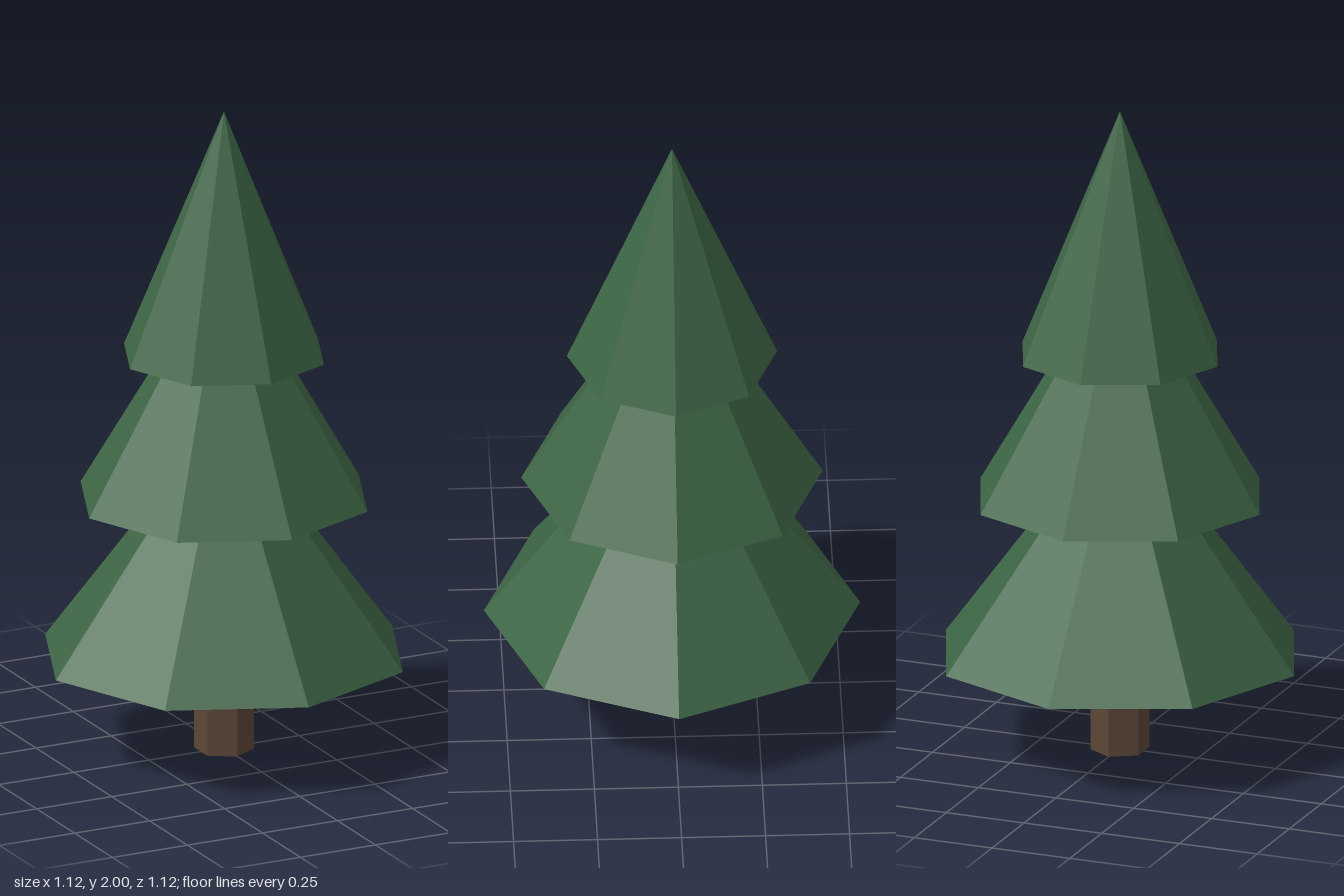
import * as THREE from 'three';

export function createModel() {
  const group = new THREE.Group();
  const needleGreen = new THREE.MeshStandardMaterial({ color: 0x3d6545, flatShading: true });
  needleGreen.name = 'needleGreen';
  const barkBrown = new THREE.MeshStandardMaterial({ color: 0x5c4637, flatShading: true });
  barkBrown.name = 'barkBrown';

  function add(name, geometry, material, baseY, height) {
    const mesh = new THREE.Mesh(geometry, material);
    mesh.name = name;
    mesh.position.y = baseY + height / 2;
    group.add(mesh);
  }

  // six-sided trunk, ending just inside the lowest foliage
  const trunkHeight = 0.34;
  add('trunk', new THREE.CylinderGeometry(0.089, 0.089, trunkHeight, 6), barkBrown, 0, trunkHeight);

  // three overlapping eight-sided foliage cones
  const tierHeight = 0.762;
  const tiers = [
    ['lowerFoliage', 0.56, 0.298],
    ['middleFoliage', 0.449, 0.79],
    ['upperFoliage', 0.313, 1.238],
  ];
  for (const [name, radius, baseY] of tiers) {
    add(name, new THREE.ConeGeometry(radius, tierHeight, 8), needleGreen, baseY, tierHeight);
  }

  return group;
}
